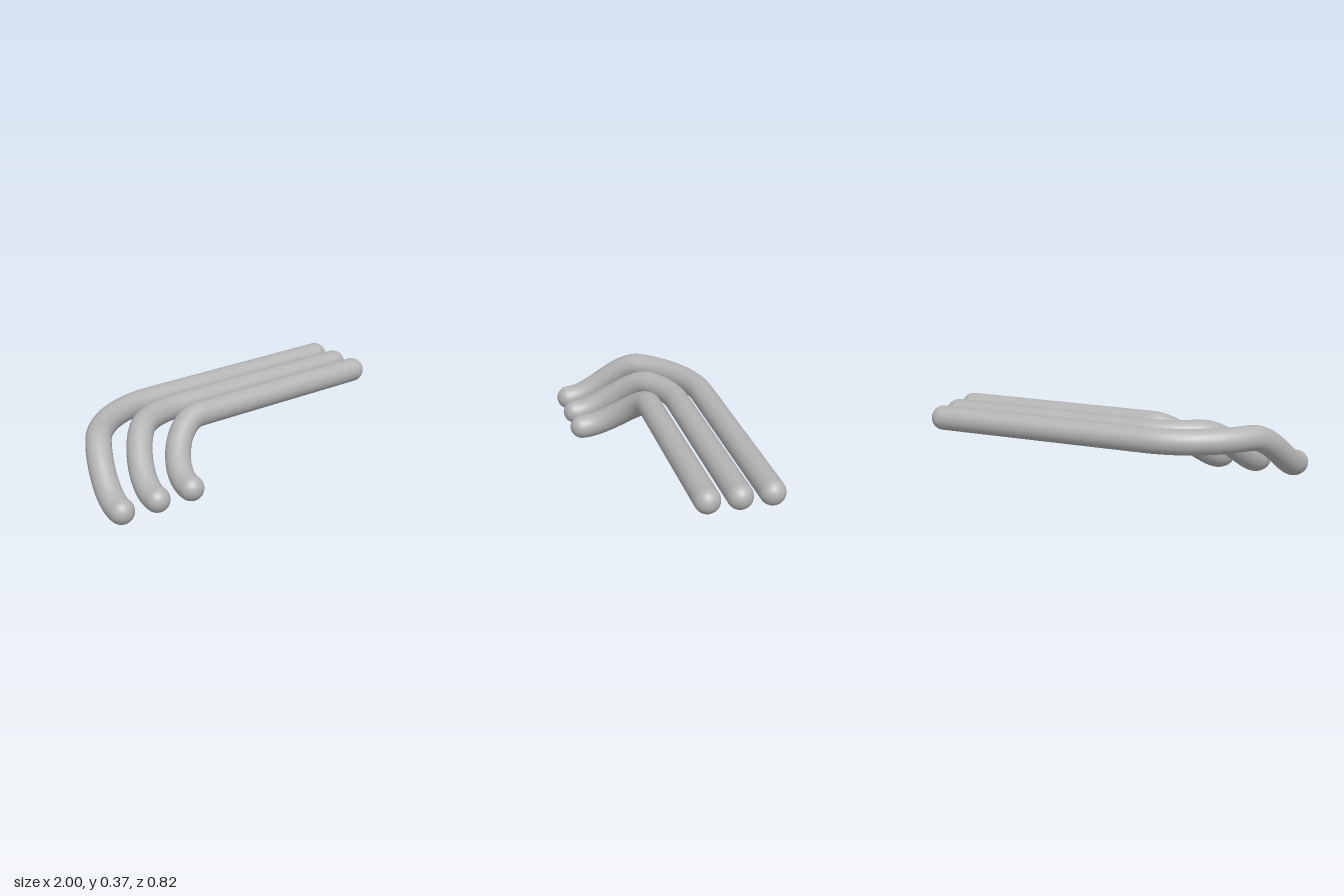
import * as THREE from 'three';

const R = 0.069;          // rod radius
const TOP = 0.3, LOW = R; // centre heights of the long arm and of the tip
const TIP_Z = 0.34, END_X = 0.931;

// Quarter-ellipse bend in plan that eases down to the tip, starting at angle a0.
class BendCurve extends THREE.Curve {
  constructor(startX, tipX, z, a0) {
    super();
    Object.assign(this, { startX, tipX, z, a0 });
  }
  getPoint(t, target = new THREE.Vector3()) {
    const a = t * Math.PI / 2;
    const drop = THREE.MathUtils.smoothstep(t * 90, this.a0, 90);
    return target.set(
      this.startX + (this.tipX - this.startX) * Math.sin(a),
      TOP + (LOW - TOP) * drop,
      TIP_Z + (this.z - TIP_Z) * Math.cos(a)
    );
  }
}

export function createModel() {
  const model = new THREE.Group();
  const grey = new THREE.MeshStandardMaterial({ color: 0xb3b3b3 });
  grey.name = 'grey';

  const add = (parent, name, geometry) => {
    const mesh = new THREE.Mesh(geometry, grey);
    mesh.name = name;
    parent.add(mesh);
    return mesh;
  };

  // Three nested bent rods with round ends
  const rods = [
    { name: 'innerRod', startX: -0.2, tipX: -0.5, z: 0, a0: 0 },
    { name: 'middleRod', startX: -0.22, tipX: -0.715, z: -0.17, a0: 34 },
    { name: 'outerRod', startX: -0.29, tipX: -0.931, z: -0.34, a0: 51 },
  ];
  for (const { name, startX, tipX, z, a0 } of rods) {
    const rod = new THREE.Group();
    rod.name = name;

    // Straight arm
    const arm = new THREE.CylinderGeometry(R, R, END_X - startX, 40, 1, true);
    arm.rotateZ(Math.PI / 2);
    add(rod, 'arm', arm).position.set((END_X + startX) / 2, TOP, z);

    // Curved, descending end
    const bend = new BendCurve(startX, tipX, z, a0);
    add(rod, 'bend', new THREE.TubeGeometry(bend, 64, R, 40));

    // Round ends
    add(rod, 'armEnd', new THREE.SphereGeometry(R, 40, 24)).position.set(END_X, TOP, z);
    add(rod, 'tip', new THREE.SphereGeometry(R, 40, 24)).position.set(tipX, LOW, TIP_Z);
    model.add(rod);
  }
  return model;
}
